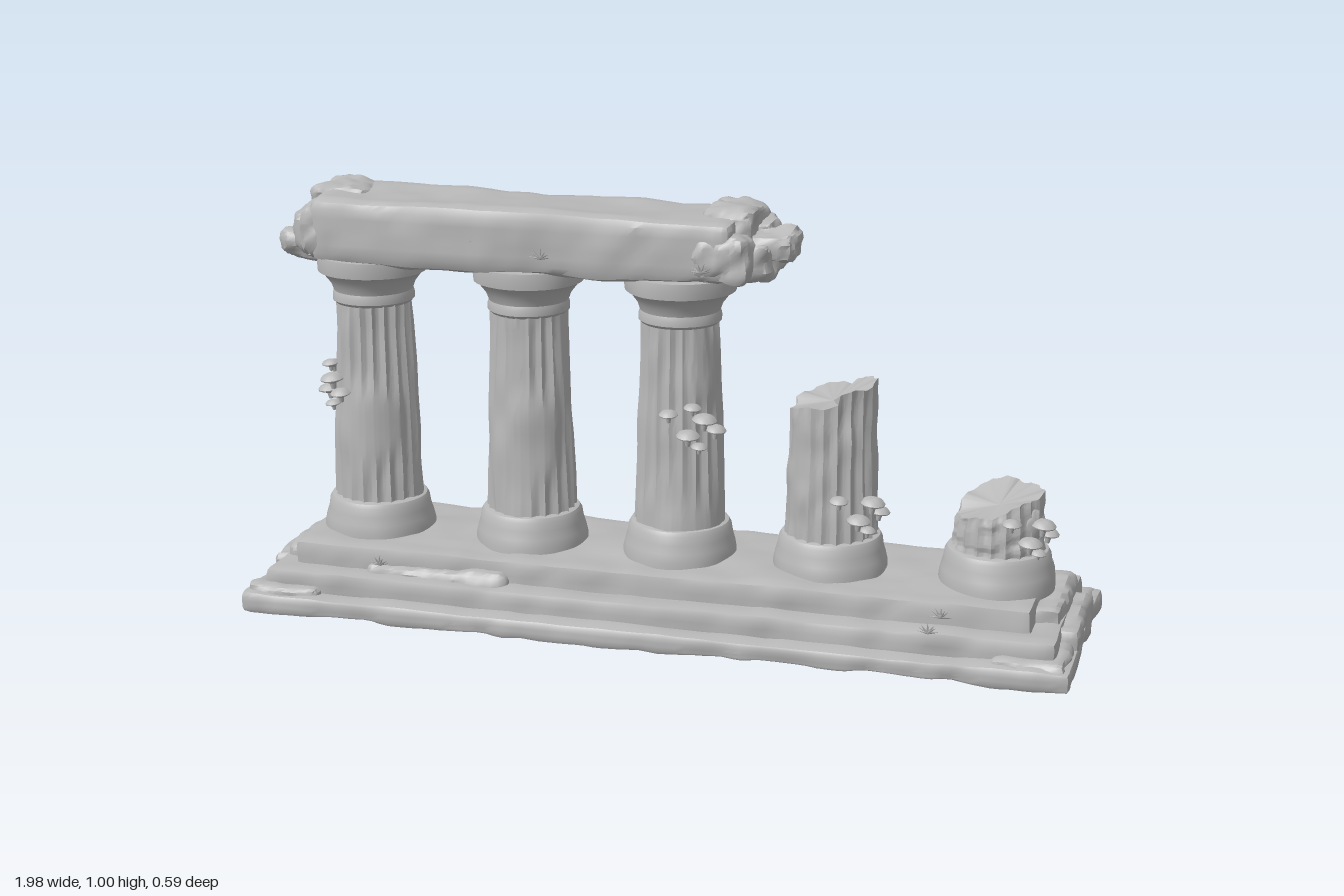
import * as THREE from 'three';
import { toCreasedNormals } from 'three/addons/utils/BufferGeometryUtils.js';

const V = (x, y) => new THREE.Vector2(x, y);

// Seeded value noise in the range -1..1
function hash(x, y, z) {
  const s = Math.sin(x * 127.1 + y * 311.7 + z * 74.7) * 43758.5453;
  return (s - Math.floor(s)) * 2 - 1;
}
function noise(x, y, z) {
  const i = [x, y, z].map(Math.floor);
  const [u, v, w] = [x - i[0], y - i[1], z - i[2]].map(t => t * t * (3 - 2 * t));
  const L = THREE.MathUtils.lerp;
  const row = (b, c) => L(hash(i[0], i[1] + b, i[2] + c), hash(i[0] + 1, i[1] + b, i[2] + c), u);
  return L(L(row(0, 0), row(1, 0), v), L(row(0, 1), row(1, 1), v), w);
}

// Moves every vertex by a rule, then rebuilds normals
function reshape(geo, rule, crease = 0.6) {
  const p = geo.attributes.position, v = new THREE.Vector3();
  for (let i = 0; i < p.count; i++) {
    v.fromBufferAttribute(p, i);
    rule(v);
    p.setXYZ(i, v.x, v.y, v.z);
  }
  geo.deleteAttribute('uv');
  return toCreasedNormals(geo, crease);
}

// Weathered block between two corners, with worn edges
function rock(a, b, { r = 0.018, amp = 0.007, freq = 9, seg = 0.022 } = {}) {
  const lo = new THREE.Vector3(...a), hi = new THREE.Vector3(...b);
  const size = hi.clone().sub(lo), mid = hi.clone().add(lo).multiplyScalar(0.5);
  const n = size.toArray().map(s => Math.max(5, Math.round(s / seg)));
  const geo = new THREE.BoxGeometry(size.x, size.y, size.z, ...n);
  geo.translate(mid.x, mid.y, mid.z);
  const inLo = lo.clone().addScalar(r), inHi = hi.clone().addScalar(-r);
  return reshape(geo, v => {
    const inner = v.clone().clamp(inLo, inHi);
    const dir = v.clone().sub(inner).normalize();
    const d = amp * noise(v.x * freq, v.y * freq + 5, v.z * freq)
      + amp * 0.5 * noise(v.x * freq * 3, v.y * freq * 3, v.z * freq * 3 + 9);
    v.copy(inner).addScaledVector(dir, r + d);
    v.y = Math.max(0, v.y);
  });
}

// Fluted shaft with worn patches; top(x, z) gives the height of its upper end
function shaft(seed, rTop, top) {
  const y0 = 0.23, flutes = 20;
  const geo = new THREE.CylinderGeometry(1, 1, 1, flutes * 6, 24);
  return reshape(geo, v => {
    const t = v.y + 0.5, rad = Math.hypot(v.x, v.z), ang = Math.atan2(v.x, v.z);
    const wear = noise(v.x * 1.3 + seed * 7, t * 2.5, v.z * 1.3);
    const depth = 0.008 * THREE.MathUtils.clamp(0.75 + wear * 1.6, 0.1, 1);
    const R = THREE.MathUtils.lerp(0.108, rTop, t)
      - depth * Math.abs(Math.sin(ang * flutes / 2))
      + 0.004 * noise(v.x * 2, t * 6 + seed * 3, v.z * 2);
    v.x *= R;
    v.z *= R;
    v.y = y0 + (top(v.x, v.z, rad) - y0) * t;
  }, 0.5);
}

// Turned part with a slightly uneven surface
function turned(points, seed) {
  const geo = new THREE.LatheGeometry(points, 56);
  return reshape(geo, v => {
    const k = 1 + 0.02 * noise(v.x * 14 + seed * 5, v.y * 14, v.z * 14);
    v.x *= k;
    v.z *= k;
  });
}

export function createModel() {
  const stone = new THREE.MeshStandardMaterial({ color: 0xb8b8b8 });
  stone.name = 'stone grey';
  const model = new THREE.Group();
  model.name = 'ruinedColonnade';
  const add = (name, geo, parent = model) => {
    const m = new THREE.Mesh(geo, stone);
    m.name = name;
    parent.add(m);
    return m;
  };

  // Stepped plinth
  [[0.985, 0.29, 0, 0.05], [0.945, 0.245, 0.02, 0.1], [0.885, 0.19, 0.06, 0.155]].forEach(
    ([x, z, y0, y1], i) => add('step' + (i + 1), rock([-x, y0, -z], [x, y1, z], { amp: 0.007, freq: 7, r: 0.014 })));

  // Loose blocks at the ends and corners of the plinth
  [[[0.86, 0, -0.14], [0.982, 0.092, 0.13]], [[-0.985, 0, -0.13], [-0.86, 0.09, 0.12]],
    [[-0.975, 0, 0.1], [-0.8, 0.07, 0.28]], [[-0.975, 0, -0.28], [-0.8, 0.068, -0.1]],
    [[0.8, 0, 0.12], [0.97, 0.065, 0.28]], [[0.8, 0, -0.285], [0.975, 0.06, -0.1]],
    [[-0.93, 0.05, -0.12], [-0.8, 0.128, 0.15]], [[0.8, 0.05, -0.17], [0.94, 0.13, 0.11]],
    [[-0.7, 0.05, 0.14], [-0.35, 0.12, 0.218]], [[0.1, 0.05, -0.22], [0.6, 0.118, -0.14]]
  ].forEach(([a, b]) => add('plinthBlock', rock(a, b, { r: 0.02, amp: 0.01, freq: 12, seg: 0.015 })));

  // Columns: three whole, two broken
  const foot = [V(0, 0.14), V(0.134, 0.14), V(0.134, 0.165), V(0.13, 0.185), V(0.124, 0.205),
    V(0.121, 0.225), V(0.115, 0.235), V(0.105, 0.238), V(0, 0.238)];
  const head = [V(0, 0.715), V(0.09, 0.715), V(0.097, 0.722), V(0.097, 0.735), V(0.094, 0.745), V(0.1, 0.762),
    V(0.112, 0.778), V(0.12, 0.788), V(0.129, 0.792), V(0.131, 0.815), V(0.129, 0.83), V(0, 0.832)];
  const jag = (x, z) => 0.014 * noise(x * 22 + 3, 1, z * 22);
  const full = () => 0.73;
  const tops = [full, full, full,
    (x, z, r) => 0.562 + 0.25 * x + (x > 0.035 ? 0.02 : 0) + jag(x, z) - 0.015 * (1 - r),
    (x, z, r) => Math.min(0.372, 0.35 + 0.35 * x - 0.15 * z) + jag(x, z) - 0.02 * (1 - r)];
  [-0.74, -0.35, 0.02, 0.385, 0.775].forEach((x, i) => {
    const column = new THREE.Group();
    column.name = 'column' + (i + 1);
    column.position.x = x;
    model.add(column);
    add('columnBase', turned(foot, i), column);
    add('shaft', shaft(i + 1, i < 3 ? 0.09 : 0.1, tops[i]), column);
    if (i < 3) add('capital', turned(head, i + 9), column);
  });
  // Lump left on the shortest column
  add('brokenLump', rock([0.8, 0.25, -0.03], [0.872, 0.35, 0.06], { r: 0.03, amp: 0.008, freq: 20, seg: 0.012 }));

  // Lintel with crumbled ends
  const lintel = new THREE.Group();
  lintel.name = 'lintel';
  model.add(lintel);
  add('beam', rock([-0.85, 0.828, -0.127], [0.17, 0.976, 0.122], { amp: 0.009, freq: 7, r: 0.022 }), lintel);
  [[[-0.95, 0.818, -0.1], [-0.78, 0.885, 0.07]], [[-0.9, 0.84, -0.11], [-0.76, 0.945, 0.1]],
    [[-0.885, 0.89, -0.12], [-0.74, 0.985, 0.03]], [[-0.87, 0.83, 0.02], [-0.78, 0.965, 0.118]],
    [[0.08, 0.828, -0.1], [0.245, 0.915, 0.07]], [[0.12, 0.865, -0.085], [0.288, 0.935, 0.025]],
    [[0.08, 0.89, -0.125], [0.2, 0.985, 0.06]], [[0.08, 0.832, 0.01], [0.205, 0.94, 0.123]],
    [[0.1, 0.85, -0.13], [0.225, 0.95, -0.04]]
  ].forEach(([a, b]) => add('crumbledEnd', rock(a, b, { r: 0.025, amp: 0.014, freq: 16, seg: 0.012 }), lintel));

  // Clusters of shelf mushrooms: column x, shaft radius, facing angle from +z, height
  const cap = toCreasedNormals(new THREE.LatheGeometry([V(0, -0.03), V(0.006, -0.028), V(0.009, -0.012),
    V(0.03, -0.003), V(0.031, 0), V(0.024, 0.008), V(0.012, 0.013), V(0, 0.015)], 14), 0.7);
  const spots = [[-0.6, 0.035, 0.8], [-0.2, -0.015, 1], [0.15, 0.02, 1.05], [0.45, -0.01, 0.9], [0.05, -0.045, 0.7], [-0.1, 0.05, 0.75]];
  [[-0.74, 0.101, -0.95, 0.515, 6], [0.02, 0.103, 0.62, 0.485, 6], [0.385, 0.108, 0.95, 0.31, 5], [0.775, 0.107, 1.0, 0.29, 5]]
    .forEach(([cx, r, facing, y, count]) => {
      const cluster = new THREE.Group();
      cluster.name = 'mushroomCluster';
      model.add(cluster);
      spots.slice(0, count).forEach(([da, dy, s]) => {
        const a = facing + da, d = r + 0.012 * s;
        const m = add('mushroom', cap, cluster);
        m.position.set(cx + Math.sin(a) * d, y + dy, Math.cos(a) * d);
        m.scale.setScalar(s * 0.9);
        m.rotation.set(Math.cos(a) * 0.12, 0, -Math.sin(a) * 0.12);
      });
    });

  // Small sprigs growing from cracks
  const leaf = new THREE.ConeGeometry(0.004, 0.026, 4).translate(0, 0.013, 0).scale(1, 1, 0.5);
  [[-0.46, 0.885, 0.122, 1], [-0.28, 0.87, 0.122, 1], [-0.66, 0.125, 0.215, 1], [0.66, 0.1, 0.245, 1],
    [0.68, 0.12, 0.195, 1], [0.1, 0.86, 0.122, 1], [-0.82, 0.1, -0.2, -1], [0.68, 0.11, -0.2, -1], [-0.3, 0.87, -0.125, -1]
  ].forEach(([x, y, z, side], k) => {
    const sprig = new THREE.Group();
    sprig.name = 'sprig';
    sprig.position.set(x, y, z);
    model.add(sprig);
    for (let i = 0; i < 7; i++) {
      const m = add('leaf', leaf, sprig);
      m.rotation.set(side * (0.35 + 0.2 * hash(i, k, 2)), 0, (i - 3) * 0.5 + 0.2 * hash(i, k, 1));
    }
  });
  return model;
}
